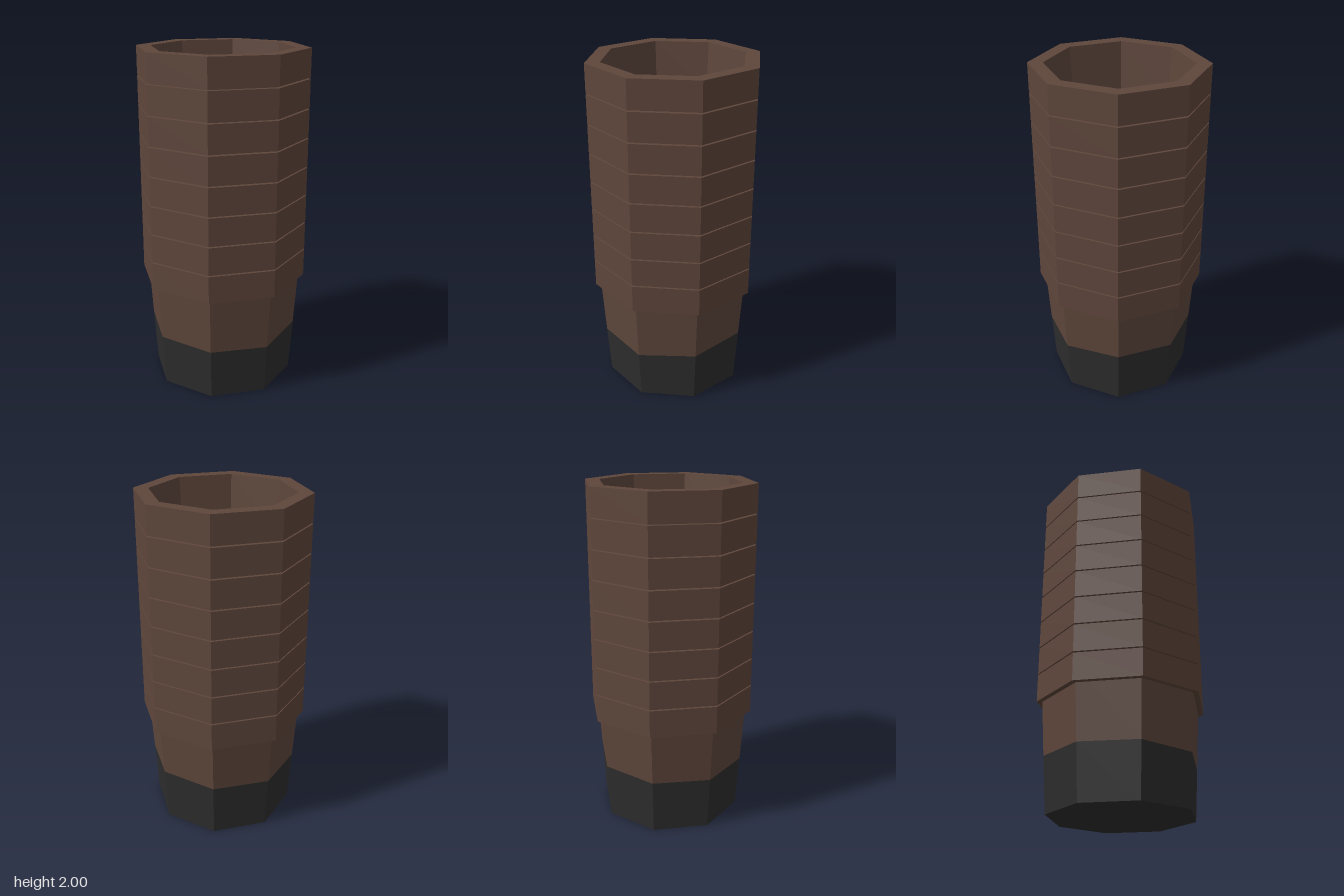
import * as THREE from 'three';

const SIDES = 8, CUPS = 8, CUP_H = 0.805, RIM_H = 0.163;
const PITCH = (2 - CUP_H) / (CUPS - 1);
const RIM_Y = CUP_H - RIM_H;

// Slightly uneven paint line, one offset per corner, starting at +z towards +x
const WOBBLE = [0, -0.008, -0.016, 0.003, 0.025, 0.018, 0.012, 0.005];

const outerR = (y) => 0.426 + 0.065 * y;
const innerR = (y) => 0.4145 - 0.061 * (CUP_H - y);

// Eight-sided lathe; corners lying at height lineY follow the uneven paint line
function ring(points, lineY, radiusAt) {
  const geo = new THREE.LatheGeometry(points.map(([r, y]) => new THREE.Vector2(r, y)), SIDES);
  if (lineY !== undefined) {
    const pos = geo.attributes.position;
    for (let i = 0; i < pos.count; i++) {
      if (Math.abs(pos.getY(i) - lineY) > 1e-4) continue;
      const a = Math.atan2(pos.getX(i), pos.getZ(i));
      const k = (Math.round(a / (Math.PI / 4)) + SIDES) % SIDES;
      const y = lineY + WOBBLE[k], r = radiusAt(y);
      pos.setXYZ(i, r * Math.sin(a), y, r * Math.cos(a));
    }
    geo.computeVertexNormals();
  }
  return geo;
}

export function createModel() {
  const brown = new THREE.MeshStandardMaterial({ color: 0x5e463b, flatShading: true });
  brown.name = 'brown';
  const black = new THREE.MeshStandardMaterial({ color: 0x2d2d2d, flatShading: true });
  black.name = 'charcoal';

  const line = 0.312, innerLine = 0.505, floorY = 0.24;
  const parts = [
    // Base disc and lower outer wall
    ['lowerBody', black, ring([[0, 0], [outerR(0), 0], [outerR(line), line]], line, outerR)],
    // Upper outer wall below the rim
    ['upperBody', brown, ring([[outerR(line), line], [outerR(RIM_Y + 0.1), RIM_Y + 0.1]], line, outerR)],
    // Thick collar with a flat top
    ['rim', brown, ring([[0.45, RIM_Y], [0.5, RIM_Y], [0.5, CUP_H], [innerR(CUP_H), CUP_H]])],
    // Inside wall
    ['innerWall', brown, ring([[innerR(CUP_H), CUP_H], [innerR(innerLine), innerLine]], innerLine, innerR)],
    // Inside bottom
    ['innerBottom', black, ring([[innerR(innerLine), innerLine], [innerR(floorY), floorY], [0, floorY]], innerLine, innerR)],
  ];

  // Stack of identical nested cups
  const stack = new THREE.Group();
  stack.name = 'cupStack';
  for (let i = 0; i < CUPS; i++) {
    const cup = new THREE.Group();
    cup.name = `cup${i + 1}`;
    for (const [name, material, geometry] of parts) {
      const mesh = new THREE.Mesh(geometry, material);
      mesh.name = name;
      cup.add(mesh);
    }
    cup.position.y = i * PITCH;
    stack.add(cup);
  }
  return stack;
}
